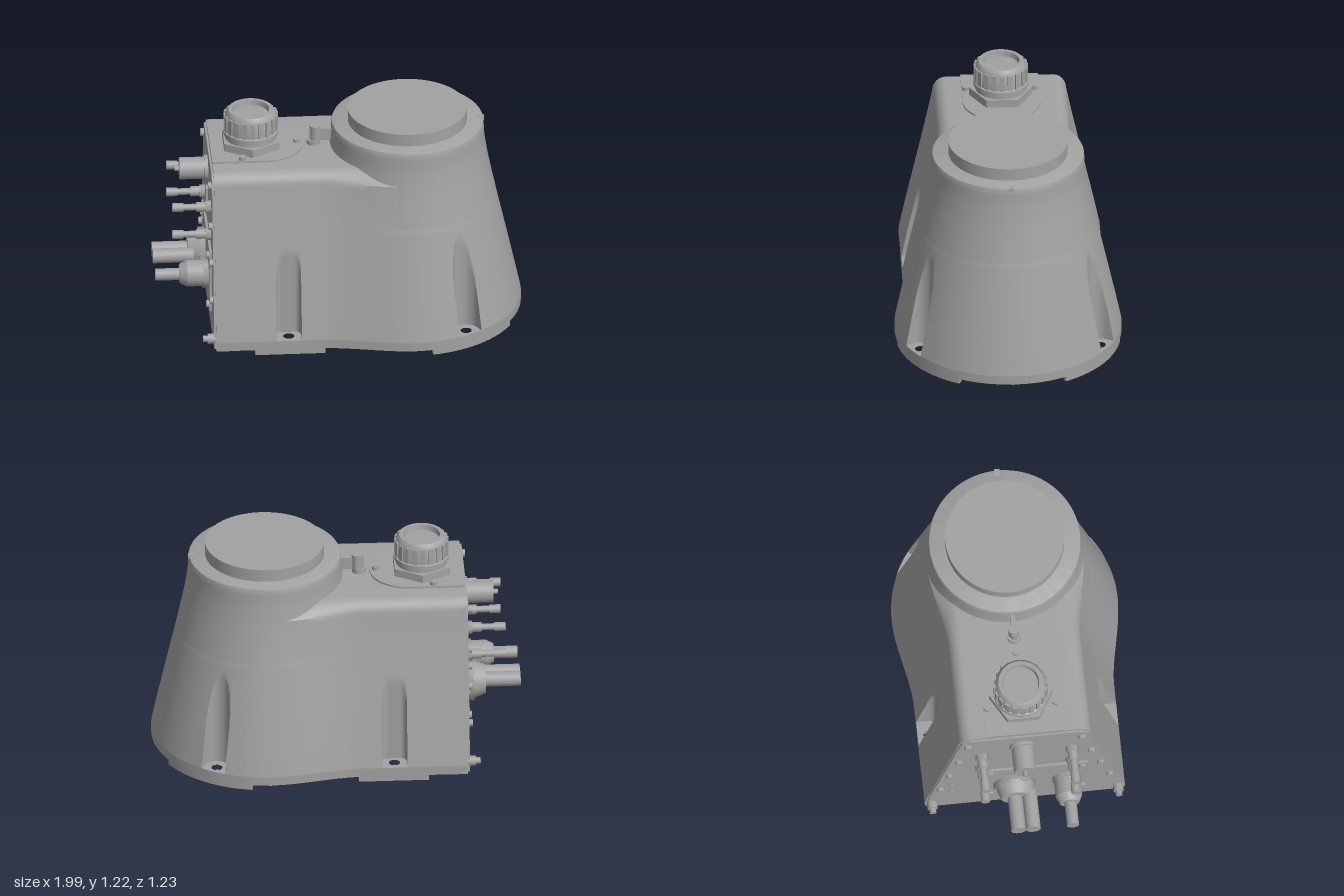
import * as THREE from 'three';
import { toCreasedNormals } from 'three/addons/utils/BufferGeometryUtils.js';

const CX = 0.38, BACK = -0.69;              // tower axis, rear face
const BOLT = { x: -0.295, z: 0.485 };       // body bolt
const PHI = 1.04, BD = 0.563, BR = 0.07;    // tower bolt: angle, distance, pocket radius
const PROFILE = [[0.03, 0.613], [0.08, 0.613], [0.2, 0.588], [0.4, 0.544], [0.65, 0.488], [0.8, 0.456],
  [0.92, 0.432], [1.02, 0.417], [1.12, 0.411]];

// Tower radius at height y
function radius(y) {
  for (let i = 1; i < PROFILE.length; i++) {
    const [y0, r0] = PROFILE[i - 1], [y1, r1] = PROFILE[i];
    if (y <= y1) return r0 + (r1 - r0) * (y - y0) / (y1 - y0);
  }
  return 0.411;
}

// Body half-width at x, blending from the straight sides into the tower
function halfWidth(x, y) {
  const k = THREE.MathUtils.clamp((y - 0.935) / 0.065, 0, 1);
  const e = 0.06 * (1 - Math.sqrt(1 - k * k));
  const w = radius(y) - 0.07 - e;
  const r = radius(y) - (y > 0.7 ? 0.003 : 0) - e - 0.07 * k;
  return [w + (r - w) * THREE.MathUtils.smoothstep(x, -0.13, CX), r];
}

// One half of the outline at height y, rear to nose; pockets cut the bolt recesses
function halfOutline(y, pockets) {
  const pts = [], xs = [];
  for (let x = BACK; x < -0.38; x += 0.05) xs.push(x);
  xs.push(BOLT.x - 0.0684);
  for (let i = -10; i <= 10; i++) xs.push(BOLT.x + 0.068 * i / 10);
  xs.push(BOLT.x + 0.0684);
  for (let x = -0.2; x < CX - 0.01; x += 0.029) xs.push(x);
  for (const x of xs) {
    let z = halfWidth(x, y)[0];
    const d = Math.abs(x - BOLT.x);
    if (pockets && d <= 0.06801) {
      const c = Math.max(0, d - 0.035);
      z = Math.min(z, 0.437 + 0.033 - Math.sqrt(Math.max(0, 0.033 ** 2 - c * c)));
    }
    pts.push([x, z]);
  }
  const r = halfWidth(CX, y)[1];
  const arc = (deg) => pts.push([CX + r * Math.cos(deg * Math.PI / 180), r * Math.sin(deg * Math.PI / 180)]);
  for (let a = 90; a > 74; a -= 3) arc(a);
  const across = (s, cut) => {
    let t = Math.sqrt(r * r - s * s);
    if (cut && pockets) t = Math.min(t, BD - Math.sqrt(Math.max(0, BR * BR - s * s)));
    pts.push([CX + t * Math.cos(PHI) - s * Math.sin(PHI), t * Math.sin(PHI) + s * Math.cos(PHI)]);
  };
  across(BR + 0.0004, false);
  for (let i = 12; i >= -12; i--) across(BR * Math.sin(i / 12 * Math.PI / 2), true);
  across(-BR - 0.0004, false);
  for (let a = 43.5; a > 1; a -= 3) arc(a);
  return pts;
}
const fullOutline = (y, pockets) => {
  const h = halfOutline(y, pockets);
  return [...h, ...h.slice().reverse().map(([x, z]) => [x, -z])];
};

// Lofted housing with a flat top
function housingGeometry() {
  const ys = [];
  for (let i = 0; i <= 34; i++) ys.push(0.08 + 0.855 * i / 34);
  for (let i = 1; i <= 7; i++) ys.push(0.935 + 0.065 * Math.sin(i / 7 * Math.PI / 2));
  const pos = [], idx = [];
  const rings = ys.map((y) => fullOutline(y, true));
  const m = rings[0].length;
  rings.forEach((ring, k) => ring.forEach(([x, z]) => pos.push(x, ys[k], z)));
  for (let k = 0; k < ys.length - 1; k++) for (let i = 0; i < m; i++) {
    const a = k * m + i, b = k * m + (i + 1) % m;
    idx.push(a, b, b + m, a, b + m, a + m);
  }
  const top = (ys.length - 1) * m;
  for (let i = 0; i < m / 2 - 1; i++) {
    idx.push(top + i, top + i + 1, top + m - 2 - i, top + i, top + m - 2 - i, top + m - 1 - i);
  }
  const g = new THREE.BufferGeometry();
  g.setAttribute('position', new THREE.Float32BufferAttribute(pos, 3));
  g.setIndex(idx);
  return toCreasedNormals(g, 0.5);
}

// Horizontal slab from [x, z] points with round holes
function slab(points, yTop, depth, holes = [], holeR = 0.03) {
  const s = new THREE.Shape(points.map(([x, z]) => new THREE.Vector2(x, z)));
  for (const [x, z] of holes) s.holes.push(new THREE.Path().absarc(x, z, holeR, 0, Math.PI * 2, true));
  const g = new THREE.ExtrudeGeometry(s, { depth, bevelEnabled: false, curveSegments: 20 });
  return toCreasedNormals(g.rotateX(Math.PI / 2).translate(0, yTop, 0), 0.5);
}

export function createModel() {
  const model = new THREE.Group();
  const grey = new THREE.MeshStandardMaterial({ color: 0xa2a2a2 });
  grey.name = 'castGrey';
  const add = (name, geo, x = 0, y = 0, z = 0) => {
    const mesh = new THREE.Mesh(geo, grey);
    mesh.name = name;
    mesh.position.set(x, y, z);
    model.add(mesh);
    return mesh;
  };
  const box = (name, w, h, d, x, y, z) => add(name, new THREE.BoxGeometry(w, h, d), x, y, z);
  const post = (name, r, y0, y1, x, z, n = 20) =>
    add(name, new THREE.CylinderGeometry(r, r, y1 - y0, n), x, (y0 + y1) / 2, z);
  // Rod along x, from x0 (outer) to x1
  const rod = (name, r, x0, x1, y, z, n = 24, rOut = r) =>
    add(name, new THREE.CylinderGeometry(r, rOut, x1 - x0, n).rotateZ(-Math.PI / 2), (x0 + x1) / 2, y, z);
  const lathe = (pts, n = 64) =>
    toCreasedNormals(new THREE.LatheGeometry(pts.map(([r, y]) => new THREE.Vector2(r, y)), n), 0.5);

  // Housing, base and tower
  const tBolt = [CX + BD * Math.cos(PHI), BD * Math.sin(PHI)];
  const bolts = [[BOLT.x, BOLT.z], tBolt];
  add('housing', housingGeometry());
  add('basePlate', slab(fullOutline(0.08, false), 0.08, 0.05, [...bolts, ...bolts.map(([x, z]) => [x, -z])]));
  const tower = [];
  for (let i = 0; i <= 14; i++) tower.push([radius(0.7 + 0.03 * i), 0.7 + 0.03 * i]);
  tower.push([0.408, 1.127], [0.401, 1.13], [0, 1.13]);
  add('tower', lathe(tower, 96), CX);
  add('towerDisc', new THREE.CylinderGeometry(0.322, 0.322, 0.07, 80), CX, 1.165, 0);
  box('towerMark', 0.04, 0.02, 0.03, 0.775, 1.122, 0);

  // Feet along the rim, widened round the bolts
  const bulge = (s) => Math.sqrt(Math.max(0, 0.065 ** 2 - s * s));
  for (const side of [1, -1]) {
    const bodyOut = [], bodyIn = [], arcOut = [], arcIn = [];
    for (let i = 0; i <= 40; i++) {
      const x = -0.48 + 0.38 * i / 40, h = halfWidth(x, 0.03)[0], b = bulge(x - BOLT.x);
      bodyOut.push([x, side * h]);
      bodyIn.unshift([x, side * Math.min(h - 0.03, b ? BOLT.z - b : 1)]);
      const a = 0.493 + 0.914 * i / 40, c = bulge(BD * Math.sin(a - PHI));
      const r = Math.min(0.583, c ? BD - c : 1);
      arcOut.push([CX + 0.61 * Math.cos(a), side * 0.61 * Math.sin(a)]);
      arcIn.unshift([CX + r * Math.cos(a), side * r * Math.sin(a)]);
    }
    add('bodyFoot', slab([...bodyOut, ...bodyIn], 0.03, 0.03, [[BOLT.x, side * BOLT.z]]));
    add('towerFoot', slab([...arcOut, ...arcIn], 0.03, 0.03, [[tBolt[0], side * tBolt[1]]]));
    for (const [x, z] of [[-0.63, 0.5], [0.0, 0.5], [0.38, 0.57], [0.9, 0.2]]) {
      post('baseStud', 0.02, 0.015, 0.035, x, side * z, 14);
    }
  }
  post('baseStud', 0.02, 0.015, 0.035, 0.95, 0, 14);
  box('rearSill', 0.1, 0.01, 0.96, -0.63, 0.026, 0);

  // Top cover with screws
  const cover = [[-0.69, 0.21]];
  for (let i = 0; i <= 24; i++) {
    const a = Math.PI / 2 - Math.PI * i / 24;
    cover.push([-0.395 + 0.21 * Math.cos(a), 0.21 * Math.sin(a)]);
  }
  cover.push([-0.69, -0.21]);
  add('topCover', slab(cover, 1.01, 0.015));
  for (const [x, z] of [[-0.525, 0.187], [-0.525, -0.187], [-0.22, 0]]) post('coverScrew', 0.02, 1.0, 1.03, x, z);

  // Large gland cap with grip ridges
  const KX = -0.468;
  add('glandHex', toCreasedNormals(new THREE.CylinderGeometry(0.172, 0.172, 0.045, 6), 0.4), KX, 1.032, 0);
  add('glandCap', lathe([[0.13, 1.05], [0.14, 1.055], [0.14, 1.075], [0.15, 1.08], [0.15, 1.1], [0.141, 1.105],
    [0.139, 1.19], [0.127, 1.212], [0.12, 1.22], [0.1, 1.22], [0.095, 1.19], [0, 1.19]]), KX);
  for (let i = 0; i < 20; i++) {
    const a = i / 20 * Math.PI * 2;
    const ridge = box('gripRidge', 0.014, 0.09, 0.026, KX + 0.14 * Math.cos(a), 1.15, 0.14 * Math.sin(a));
    ridge.rotation.y = -a;
  }

  // Small bracket beside the tower
  post('bracketBase', 0.037, 0.995, 1.025, -0.13, 0);
  box('bracketArm', 0.13, 0.07, 0.026, -0.09, 1.055, 0);
  post('bracketPin', 0.03, 1.02, 1.105, -0.12, 0);

  // Rear panel on the end face
  const panelShape = new THREE.Shape([[0.535, 0.04], [0.515, 0.2], [0.47, 0.4], [0.414, 0.65], [0.36, 0.9],
    [0.34, 0.96], [0.3, 0.985]].flatMap(([z, y], i, all) => i ? [new THREE.Vector2(z, y)]
    : all.slice().reverse().map((p) => new THREE.Vector2(-p[0], p[1])).concat(new THREE.Vector2(z, y))));
  add('rearPanel', new THREE.ExtrudeGeometry(panelShape, { depth: 0.014, bevelEnabled: false })
    .rotateY(-Math.PI / 2), BACK + 0.003);
  box('connectorPlate', 0.014, 0.36, 0.56, -0.707, 0.35, 0.06);
  box('verticalSlotCover', 0.014, 0.14, 0.05, -0.707, 0.69, 0.02);
  for (const y of [0.15, 0.25, 0.35, 0.45]) rod('panelRivet', 0.012, -0.707, -0.69, y, -0.4, 10);
  for (const s of [1, -1]) {
    for (const [y, z, r] of [[0.3, 0.46, 0.02], [0.5, 0.41, 0.02], [0.7, 0.36, 0.02], [0.92, 0.31, 0.022]]) {
      rod('panelScrew', r, -0.72, -0.69, y, s * z, 14);
    }
    rod('cornerBoltHead', 0.028, -0.735, -0.69, 0.09, s * 0.505, 16);
    rod('cornerBoltTip', 0.018, -0.76, -0.73, 0.09, s * 0.505, 16);
    for (const y of [0.2, 0.5]) rod('plateScrew', 0.02, -0.73, -0.7, y, 0.06 + s * 0.25, 14);
  }

  // Thin hose fittings
  for (const y of [0.765, 0.6]) for (const z of [-0.235, 0.255]) {
    rod('fittingNut', 0.036, -0.73, -0.69, y, z, 6);
    rod('fittingBody', 0.027, -0.78, -0.72, y, z);
    rod('fittingStem', 0.018, -0.86, -0.77, y, z);
    rod('fittingEnd', 0.024, -0.91, -0.85, y, z);
  }

  // Round socket
  rod('socketFlange', 0.07, -0.72, -0.69, 0.86, -0.015);
  rod('socketBody', 0.06, -0.855, -0.71, 0.86, -0.015);
  rod('socketPin', 0.014, -0.88, -0.85, 0.86, -0.015, 12);

  // Cable glands with cables
  rod('wideGlandNut', 0.115, -0.75, -0.7, 0.345, -0.06, 6);
  rod('wideGland', 0.105, -0.81, -0.74, 0.345, -0.06, 32, 0.08);
  for (const z of [-0.065, 0.015]) rod('cable', 0.04, -1, -0.78, 0.345, z);
  rod('narrowGlandNut', 0.08, -0.75, -0.7, 0.345, 0.225, 6);
  rod('narrowGland', 0.072, -0.83, -0.74, 0.345, 0.225, 32);
  rod('narrowGlandTip', 0.072, -0.87, -0.83, 0.345, 0.225, 32, 0.052);
  rod('cable', 0.033, -1, -0.86, 0.345, 0.23);
  return model;
}
